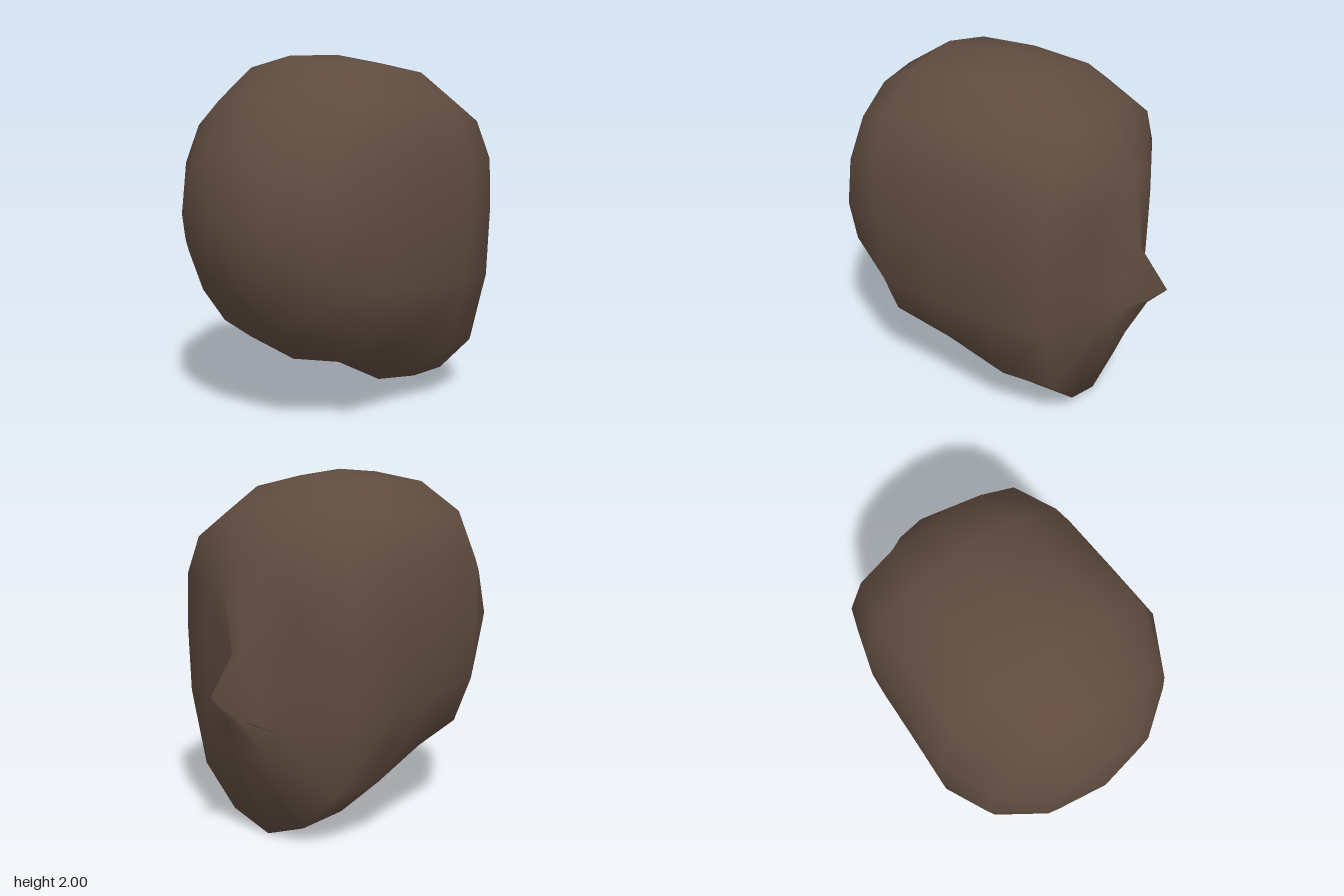
import * as THREE from 'three';

// Half outline of a rounded section, top to bottom: [width factor, height factor]
const SKULL = [[0, 1], [0.46, 0.93], [0.82, 0.73], [0.98, 0.42], [1, 0], [0.97, -0.41], [0.82, -0.73], [0.46, -0.93], [0, -1]];
const JAW = [[0, 1], [0.46, 0.93], [0.82, 0.73], [0.98, 0.42], [1, 0], [0.97, -0.35], [0.79, -0.72], [0.42, -0.92], [0, -1]];
const ROUND = [...Array(9).keys()].map(k => [Math.sin(k * Math.PI / 8), Math.cos(k * Math.PI / 8)]);

// Half section in the plane x, bulging back by sweep at the sides
function section(shape, x, bottom, mid, top, width, sweep = 0) {
  return shape.map(([w, h]) => [
    x - sweep * w * w,
    mid + h * (h > 0 ? top - mid : mid - bottom),
    w * width,
  ]);
}

// Mirrors a half section into a closed ring of 16 points
function mirrorRing(half) {
  const other = half.slice(1, -1).reverse().map(([x, y, z]) => [x, y, -z]);
  return [...half, ...other];
}

// Skins closed rings and closes both ends on a single point
function skin(rings, start, end) {
  const n = rings[0].length;
  const points = [...rings.flat(), start, end];
  const first = points.length - 2, last = points.length - 1;
  const index = [];
  for (let k = 0; k < n; k++) {
    const next = (k + 1) % n;
    for (let i = 0; i < rings.length - 1; i++) {
      const a = i * n + k, b = i * n + next, c = a + n, d = b + n;
      index.push(a, b, c, b, d, c);
    }
    const e = (rings.length - 1) * n;
    index.push(first, next, k, e + k, e + next, last);
  }
  const geometry = new THREE.BufferGeometry();
  geometry.setAttribute('position', new THREE.Float32BufferAttribute(points.flat(), 3));
  geometry.setIndex(index);
  geometry.computeVertexNormals();
  return geometry;
}

export function createModel() {
  const group = new THREE.Group();
  group.name = 'head';
  const skinBrown = new THREE.MeshStandardMaterial({ color: 0x604c40 });
  skinBrown.name = 'skinBrown';

  // Root of the nose: bridge, wing, underside
  const noseRoot = [
    [0.81, 1.06, 0], [0.79, 1.02, 0.03], [0.77, 0.97, 0.06],
    [0.755, 0.9, 0.09], [0.745, 0.82, 0.12], [0.74, 0.73, 0.12],
    [0.76, 0.68, 0.09], [0.81, 0.7, 0.04], [0.87, 0.73, 0],
  ];

  // Sections from the back of the skull to the face
  const halves = [
    section(ROUND, -0.92, 0.8, 1.15, 1.51, 0.35),
    section(ROUND, -0.74, 0.5, 1.15, 1.81, 0.6),
    section(SKULL, -0.44, 0.31, 1.15, 1.99, 0.71),
    section(SKULL, -0.08, 0.21, 1.15, 2.0, 0.695),
    section(JAW, 0.27, 0.02, 1.15, 1.96, 0.685),
    section(JAW, 0.56, 0, 1.13, 1.81, 0.605),
    section(JAW, 0.75, 0.48, 1.05, 1.51, 0.33, 0.06),
    noseRoot,
  ];
  const head = new THREE.Mesh(
    skin(halves.map(mirrorRing), [-0.99, 1.15, 0], [0.98, 0.85, 0]),
    skinBrown,
  );
  head.name = 'headAndNose';
  group.add(head);
  return group;
}
